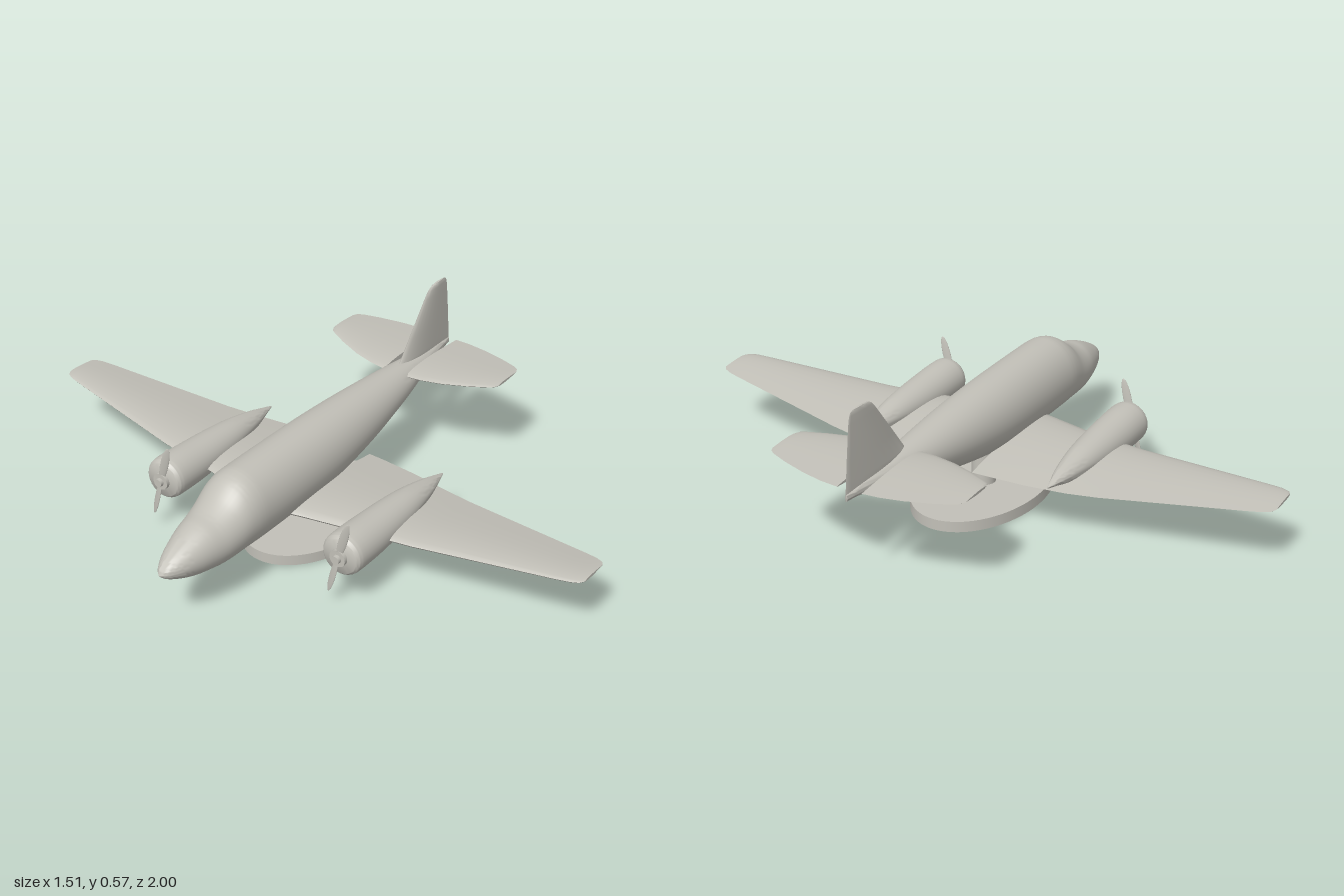
import * as THREE from 'three';
import { toCreasedNormals } from 'three/addons/utils/BufferGeometryUtils.js';

const V = (x, y, z) => new THREE.Vector3(x, y, z);

// Closed skin over a list of equal-sized rings of points, capped at both ends
function loft(rings, crease = 0.7) {
  const n = rings[0].length, pos = [], idx = [];
  rings.forEach(r => r.forEach(p => pos.push(p.x, p.y, p.z)));
  for (let i = 0; i < rings.length - 1; i++) {
    for (let j = 0; j < n; j++) {
      const a = i * n + j, b = i * n + (j + 1) % n;
      idx.push(a, b, a + n, b, b + n, a + n);
    }
  }
  [0, rings.length - 1].forEach((k, end) => {
    const c = rings[k].reduce((s, p) => s.add(p), V(0, 0, 0)).divideScalar(n);
    const ci = pos.length / 3;
    pos.push(c.x, c.y, c.z);
    for (let j = 0; j < n; j++) {
      const a = k * n + j, b = k * n + (j + 1) % n;
      if (end) idx.push(ci, a, b); else idx.push(ci, b, a);
    }
  });
  // turn every face outward, using the sign of the enclosed volume
  const at = i => V(pos[3 * i], pos[3 * i + 1], pos[3 * i + 2]);
  let volume = 0;
  for (let i = 0; i < idx.length; i += 3) volume += at(idx[i]).dot(at(idx[i + 1]).cross(at(idx[i + 2])));
  if (volume < 0) idx.reverse();
  const g = new THREE.BufferGeometry();
  g.setAttribute('position', new THREE.Float32BufferAttribute(pos, 3));
  g.setIndex(idx);
  return toCreasedNormals(g, crease);
}

// Round body along x from stations [x, top, bottom, half width]
function body(stations, steps, sides = 40) {
  const heights = new THREE.CatmullRomCurve3(stations.map(s => V(s[0], s[1], s[2])), false, 'catmullrom', 0.5);
  const widths = new THREE.CatmullRomCurve3(stations.map(s => V(s[0], s[3], 0)), false, 'catmullrom', 0.5);
  const rings = [];
  for (let i = 0; i <= steps; i++) {
    const h = heights.getPoint(i / steps), w = Math.max(0.001, widths.getPoint(i / steps).y);
    const ring = [];
    for (let j = 0; j < sides; j++) {
      const a = j / sides * Math.PI * 2;
      ring.push(V(h.x, (h.y + h.z) / 2 + Math.sin(a) * (h.y - h.z) / 2, Math.cos(a) * w));
    }
    rings.push(ring);
  }
  return loft(rings, 0.9);
}

// Aerofoil panel from sections [span, leading x, trailing x, offset, thickness, droop]
function panel(sections, place) {
  const n = 12;
  return loft(sections.map(([span, le, te, off, t, droop = 0]) => {
    const ring = [];
    for (let j = 0; j < 2 * n; j++) {
      const u = (1 - Math.cos(j / n * Math.PI)) / 2;
      const half = t / 2 * (Math.sin(Math.PI * Math.pow(u, 0.65)) + 0.06);
      ring.push(place(le + (te - le) * u, off + (j <= n ? half : -half) - droop * (u - 0.4), span));
    }
    return ring;
  }), 0.75);
}

export function createModel() {
  const model = new THREE.Group();
  model.name = 'twinEngineAirplane';
  const grey = new THREE.MeshStandardMaterial({ color: 0xc2c0b8 });
  grey.name = 'warmGrey';
  const add = (name, geometry, parent = model) => {
    const mesh = new THREE.Mesh(geometry, grey);
    mesh.name = name;
    parent.add(mesh);
    return mesh;
  };

  // Display stand
  const base = new THREE.CylinderGeometry(1, 1, 0.036, 64);
  base.scale(0.305, 1, 0.2).translate(0, 0.018, 0);
  add('standBase', base);
  add('standPost', new THREE.CylinderGeometry(0.039, 0.039, 0.18, 32)).position.y = 0.12;

  // Fuselage with stepped cockpit brow
  add('fuselage', body([
    [-0.76, 0.213, 0.208, 0.003], [-0.74, 0.232, 0.19, 0.024], [-0.7, 0.257, 0.17, 0.047],
    [-0.65, 0.281, 0.152, 0.065], [-0.6, 0.3, 0.142, 0.079], [-0.55, 0.311, 0.136, 0.09],
    [-0.5, 0.333, 0.134, 0.098], [-0.45, 0.368, 0.133, 0.105], [-0.41, 0.382, 0.132, 0.109],
    [-0.36, 0.385, 0.131, 0.11], [-0.2, 0.384, 0.132, 0.11], [0, 0.38, 0.142, 0.107],
    [0.2, 0.371, 0.175, 0.093], [0.4, 0.357, 0.224, 0.069], [0.55, 0.345, 0.265, 0.043],
    [0.68, 0.333, 0.295, 0.018], [0.752, 0.323, 0.302, 0.004],
  ], 96));

  // Tail fin
  add('tailFin', panel([
    [0.302, 0.54, 0.755, 0, 0.018], [0.335, 0.425, 0.752, 0, 0.03], [0.352, 0.455, 0.75, 0, 0.028],
    [0.42, 0.507, 0.743, 0, 0.022], [0.53, 0.592, 0.729, 0, 0.014], [0.553, 0.612, 0.724, 0, 0.012],
    [0.564, 0.631, 0.717, 0, 0.01], [0.568, 0.655, 0.705, 0, 0.007],
  ], (x, off, span) => V(x, span, off)));

  for (const side of [1, -1]) {
    const label = side > 0 ? 'left' : 'right';
    const flat = (x, off, span) => V(x, off, span * side);

    // Main wing: level centre section, then rising outer panel
    add(label + 'Wing', panel([
      [0.07, -0.26, 0.19, 0.174, 0.05, 0.02], [0.13, -0.245, 0.188, 0.174, 0.048, 0.02],
      [0.25, -0.218, 0.18, 0.173, 0.044, 0.02], [0.38, -0.196, 0.162, 0.173, 0.04, 0.02],
      [0.48, -0.18, 0.145, 0.177, 0.036, 0.018], [0.92, -0.106, 0.07, 0.214, 0.02, 0.008],
      [0.965, -0.097, 0.061, 0.218, 0.017, 0.007], [0.99, -0.086, 0.05, 0.22, 0.013, 0.005],
      [1, -0.07, 0.035, 0.221, 0.008, 0.003],
    ], flat));

    // Tailplane
    add(label + 'Tailplane', panel([
      [0.042, 0.428, 0.737, 0.331, 0.026], [0.1, 0.435, 0.734, 0.333, 0.025],
      [0.17, 0.452, 0.722, 0.336, 0.022], [0.25, 0.484, 0.7, 0.34, 0.018],
      [0.305, 0.512, 0.68, 0.343, 0.014], [0.322, 0.523, 0.668, 0.344, 0.011],
      [0.33, 0.54, 0.652, 0.344, 0.008],
    ], flat));

    // Engine, tapering to a point behind the wing
    const engine = new THREE.Group();
    engine.name = label + 'Engine';
    engine.position.z = 0.342 * side;
    model.add(engine);
    add('nacelle', body([
      [-0.352, 0.243, 0.133, 0.055], [-0.346, 0.251, 0.125, 0.063], [-0.33, 0.257, 0.12, 0.069],
      [-0.28, 0.257, 0.119, 0.07], [-0.2, 0.252, 0.121, 0.068], [-0.1, 0.245, 0.129, 0.062],
      [0, 0.235, 0.143, 0.051], [0.1, 0.217, 0.162, 0.032], [0.16, 0.202, 0.177, 0.015],
      [0.202, 0.191, 0.186, 0.002],
    ], 54, 32), engine);

    // Two-bladed propeller and hub
    const propeller = new THREE.Group();
    propeller.name = 'propeller';
    propeller.position.set(-0.36, 0.188, 0);
    propeller.rotation.x = 0.26;
    engine.add(propeller);
    const hub = new THREE.CylinderGeometry(0.028, 0.028, 0.016, 24);
    add('hub', hub.rotateZ(Math.PI / 2), propeller).position.x = 0.004;
    const spinner = new THREE.CylinderGeometry(0.014, 0.014, 0.026, 20);
    add('spinner', spinner.rotateZ(Math.PI / 2), propeller).position.x = -0.003;
    for (const end of [1, -1]) {
      const blade = new THREE.SphereGeometry(1, 20, 16);
      blade.scale(0.0035, 0.068, 0.0135).rotateY(0.35 * end).translate(0, 0.07 * end, 0);
      add('blade', blade, propeller);
    }
  }
  return model;
}
